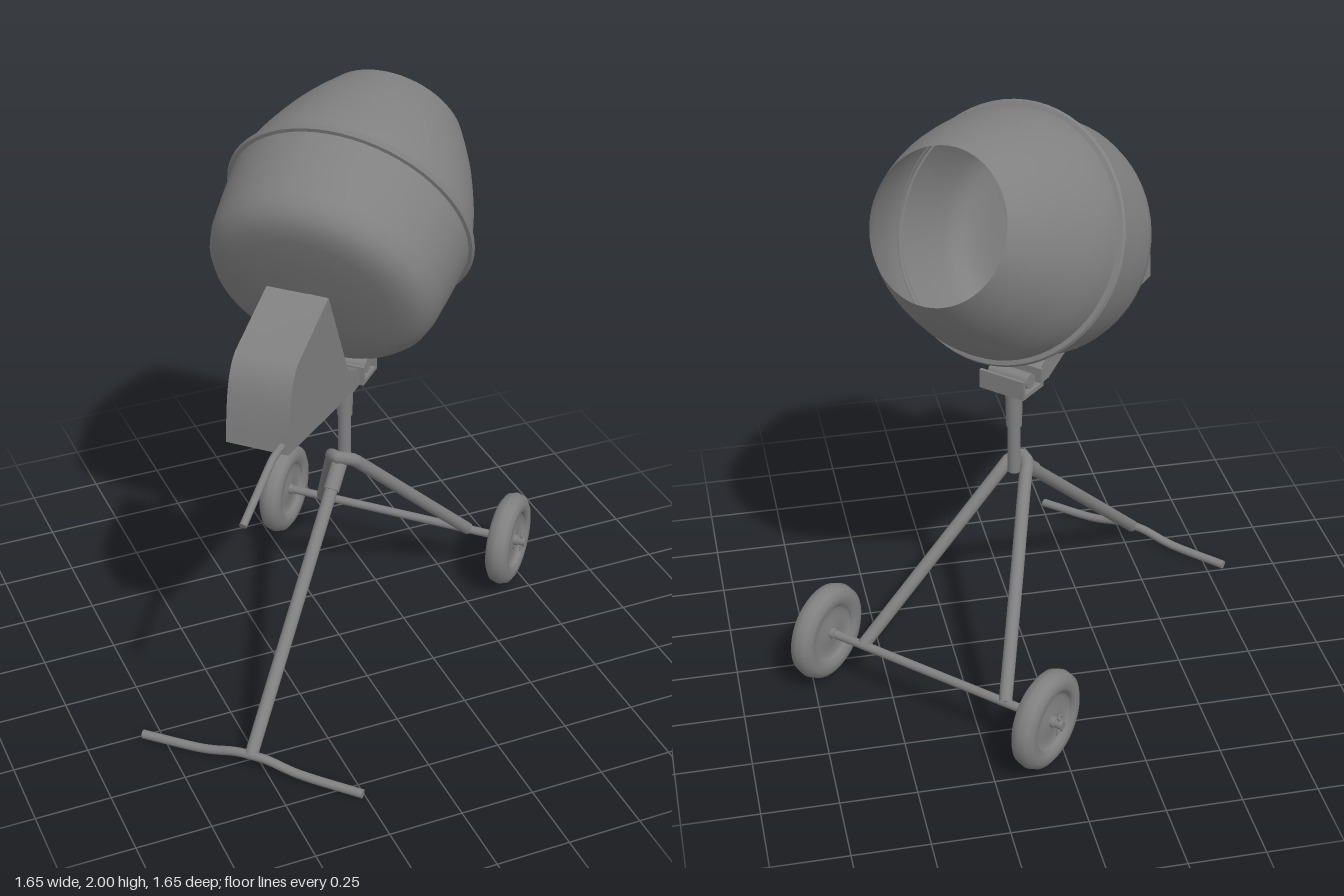
import * as THREE from 'three';
import { toCreasedNormals } from 'three/addons/utils/BufferGeometryUtils.js';

const grey = new THREE.MeshStandardMaterial({ color: 0x808080 });
const greyThin = new THREE.MeshStandardMaterial({ color: 0x808080, side: THREE.DoubleSide });
const V = (a) => new THREE.Vector3(...a);

function add(parent, name, geometry, material = grey) {
  const mesh = new THREE.Mesh(geometry, material);
  mesh.name = name;
  parent.add(mesh);
  return mesh;
}

// Capped straight rod between two points
function rod(parent, name, a, b, r, r2 = r) {
  const p = V(a), q = V(b);
  const mesh = add(parent, name, new THREE.CylinderGeometry(r2, r, p.distanceTo(q), 20));
  mesh.position.copy(p).add(q).multiplyScalar(0.5);
  mesh.quaternion.setFromUnitVectors(new THREE.Vector3(0, 1, 0), q.sub(p).normalize());
}

// Bent tube with closed ends
function tube(parent, name, points, r, tension = 0.3) {
  const curve = new THREE.CatmullRomCurve3(points.map(V), false, 'catmullrom', tension);
  add(parent, name, new THREE.TubeGeometry(curve, 60, r, 14), greyThin);
  for (const t of [0, 1]) {
    const cap = add(parent, name + 'Cap', new THREE.CircleGeometry(r, 14), greyThin);
    cap.position.copy(curve.getPointAt(t));
    cap.quaternion.setFromUnitVectors(new THREE.Vector3(0, 0, 1), curve.getTangentAt(t));
  }
}

// Side profile extruded across the width, centred on z = 0
function plate(parent, name, shape, width) {
  const g = new THREE.ExtrudeGeometry(shape, { depth: width, bevelEnabled: false, curveSegments: 10 });
  g.translate(0, 0, -width / 2);
  add(parent, name, toCreasedNormals(g, 0.6));
}

const points2 = (pts) => pts.map((p) => new THREE.Vector2(...p));
const lathe = (pts, n = 64) => new THREE.LatheGeometry(points2(pts), n);
const polygon = (pts) => new THREE.Shape(points2(pts));

function makeDrum(parent) {
  const drum = new THREE.Group();
  drum.name = 'drum';
  drum.position.set(0.09, 1.605, 0);
  drum.rotation.z = -THREE.MathUtils.degToRad(65.5);
  parent.add(drum);

  // Pan: shallow dished back, rounded corner, slightly flared wall
  add(drum, 'drumPan', lathe([[0, -0.345], [0.15, -0.343], [0.26, -0.335], [0.31, -0.325], [0.345, -0.305],
    [0.368, -0.275], [0.381, -0.23], [0.392, -0.13], [0.402, 0]]), greyThin);
  // Cone: convex wall narrowing to the open mouth
  const cone = new THREE.SplineCurve(points2([[0.4, 0], [0.389, 0.07], [0.365, 0.15], [0.324, 0.255],
    [0.284, 0.335], [0.241, 0.41]]));
  add(drum, 'drumCone', new THREE.LatheGeometry(cone.getPoints(20), 64), greyThin);
  // Seam flange
  add(drum, 'seamFlange', toCreasedNormals(lathe([[0.395, -0.014], [0.413, -0.011], [0.418, 0],
    [0.413, 0.011], [0.395, 0.014]]), 0.7), greyThin);
  // Drive shaft into the motor housing
  rod(drum, 'driveShaft', [0, -0.46, 0], [0, -0.34, 0], 0.028);
}

function makeWheel(parent, side) {
  const wheel = new THREE.Group();
  wheel.name = side > 0 ? 'leftWheel' : 'rightWheel';
  wheel.position.set(0.54, 0.183, side * 0.44);
  wheel.rotation.x = side * Math.PI / 2;
  parent.add(wheel);
  // Rounded tyre
  add(wheel, 'tyre', lathe([[0.1, -0.03], [0.115, -0.041], [0.14, -0.04], [0.16, -0.027], [0.168, 0],
    [0.16, 0.027], [0.14, 0.04], [0.115, 0.041], [0.1, 0.03], [0.1, -0.03]], 48), greyThin);
  // Shallow dished rim on both faces
  for (const s of [1, -1]) {
    add(wheel, 'rim', lathe([[0.104, s * 0.033], [0.098, s * 0.024], [0.088, s * 0.018],
      [0.06, s * 0.016], [0.035, s * 0.022], [0, s * 0.025]], 40), greyThin);
  }
  add(wheel, 'hub', new THREE.CylinderGeometry(0.019, 0.019, 0.08, 20));
  // Split pin through the axle end: eye above, two spread legs below
  const up = -side;
  for (const x of [-0.014, 0.014]) {
    rod(wheel, 'splitPinLeg', [0, 0.052, up * 0.022], [x, 0.052, -up * 0.034], 0.004);
  }
  const eye = add(wheel, 'splitPinEye', new THREE.TorusGeometry(0.009, 0.004, 8, 16));
  eye.rotation.x = Math.PI / 2;
  eye.position.set(0, 0.052, up * 0.026);
}

// Cross channel on top of the post, holding the pivot tube
function makeCradle(parent) {
  const box = (name, w, h, x, y) => add(parent, name, new THREE.BoxGeometry(w, h, 0.17)).position.set(x, y, 0);
  box('cradleBase', 0.12, 0.014, 0.065, 1.05);
  box('cradleBackWall', 0.012, 0.062, 0.011, 1.078);
  box('cradleFrontWall', 0.012, 0.062, 0.119, 1.078);
  rod(parent, 'pivotTube', [0.065, 1.085, -0.075], [0.065, 1.085, 0.075], 0.026);
}

export function createModel() {
  const model = new THREE.Group();
  model.name = 'cementMixer';
  // Built along local +x, then turned 45 degrees
  const body = new THREE.Group();
  body.name = 'mixerBody';
  body.rotation.y = Math.PI / 4;
  model.add(body);

  makeDrum(body);
  // Mixing paddle rising from the drum wall, with a short hooked end
  tube(body, 'mixingPaddle', [[0, 1.5, -0.36], [0.17, 1.65, -0.275], [0.325, 1.79, -0.205], [0.335, 1.8, -0.215],
    [0.335, 1.8, -0.24]], 0.011);

  // Motor housing with rounded back
  const housing = new THREE.Shape();
  housing.moveTo(-0.655, 1.17);
  housing.lineTo(-0.17, 1.105);
  housing.lineTo(-0.14, 1.13);
  housing.lineTo(-0.335, 1.545);
  housing.lineTo(-0.57, 1.445);
  housing.bezierCurveTo(-0.625, 1.41, -0.645, 1.33, -0.655, 1.17);
  plate(body, 'motorHousing', housing, 0.205);

  // Arm from the housing down to the cradle
  plate(body, 'supportArm', polygon([[-0.2, 1.115], [-0.05, 1.043], [0.01, 1.043], [0.01, 1.1], [-0.13, 1.165], [-0.2, 1.2]]), 0.14);
  makeCradle(body);

  // Tipping handle
  tube(body, 'tippingHandle', [[-0.6, 1.195, 0.08], [-0.69, 1.195, 0.08], [-0.74, 1.183, 0.08], [-0.94, 1.09, 0.08]], 0.012);

  // Post and sleeve
  rod(body, 'post', [0.05, 0.715, 0], [0.05, 0.93, 0], 0.022);
  rod(body, 'postSleeve', [0.05, 0.89, 0], [0.05, 1.045, 0], 0.026, 0.03);

  // Front leg with collar and bent foot bar
  rod(body, 'frontLeg', [-0.757, 0.05, 0], [0.03, 0.745, 0], 0.022);
  rod(body, 'legCollar', [-0.07, 0.657, 0], [0.01, 0.727, 0], 0.027);
  tube(body, 'footBar', [[-0.757, 0.018, -0.39], [-0.757, 0.026, -0.18], [-0.757, 0.05, -0.06], [-0.757, 0.053, 0],
    [-0.757, 0.05, 0.06], [-0.757, 0.026, 0.18], [-0.757, 0.018, 0.39]], 0.015, 0.5);

  // Rear legs: one tube bent around the post
  tube(body, 'rearLegs', [[0.54, 0.185, -0.285], [0.3, 0.442, -0.168], [0.07, 0.69, -0.055], [0.025, 0.733, -0.036], [-0.005, 0.748, 0],
    [0.025, 0.733, 0.036], [0.07, 0.69, 0.055], [0.3, 0.442, 0.168], [0.54, 0.185, 0.285]], 0.022, 0.5);

  // Axle and wheels
  rod(body, 'axle', [0.54, 0.183, -0.505], [0.54, 0.183, 0.505], 0.015);
  for (const side of [1, -1]) makeWheel(body, side);

  return model;
}
